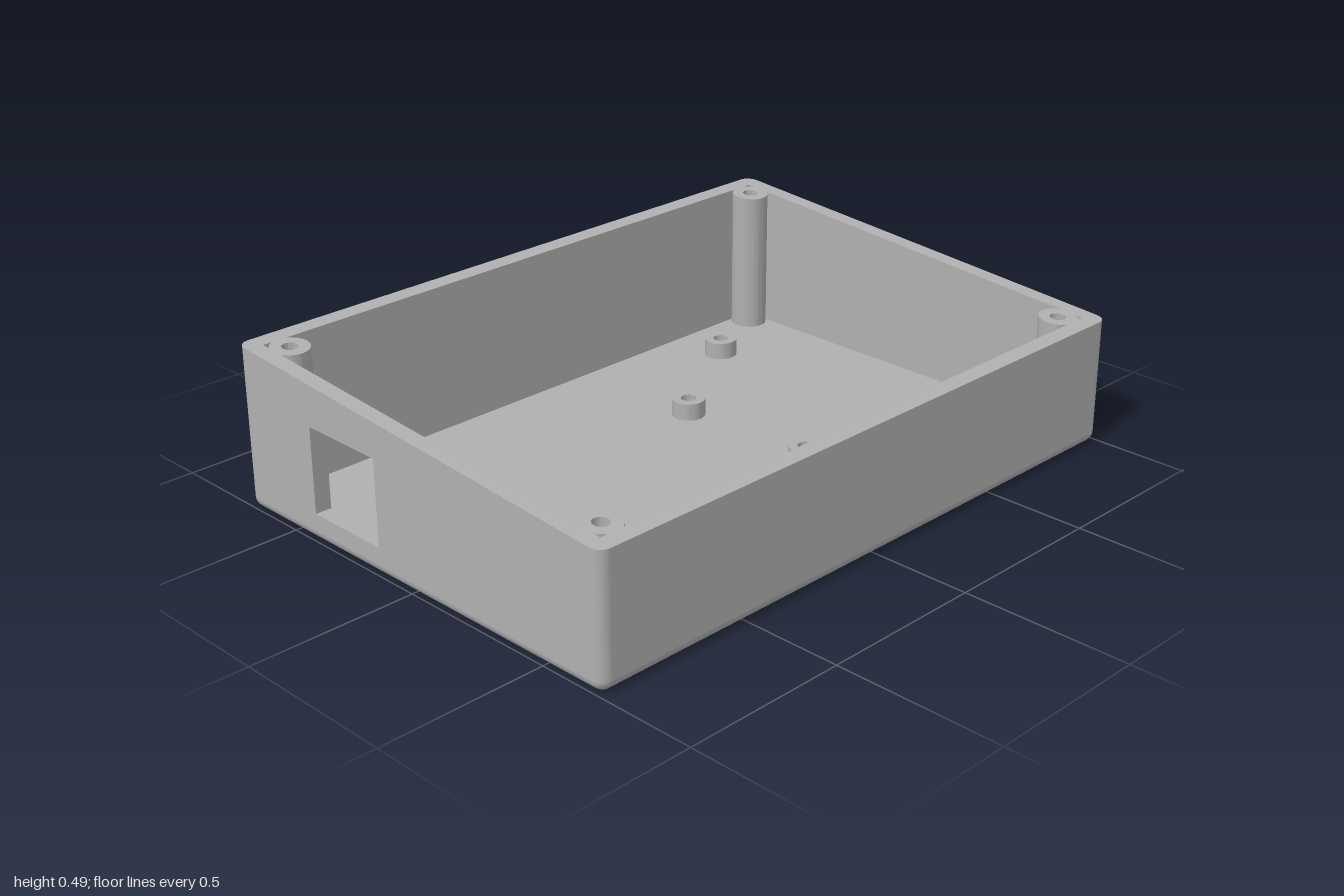
import * as THREE from 'three';
import { toCreasedNormals } from 'three/addons/utils/BufferGeometryUtils.js';

const W = 1, D = 0.7075;            // outer half width and half depth
const WALL = 0.05, FLOOR = 0.035;   // thicknesses
const R = 0.035, N = 10;            // edge rounding and its segments
const IW = W - WALL, ID = D - WALL; // inner half sizes
const rimY = (z) => 0.435 - 0.1 * z / (2 * D); // rim slopes down to the front
const WIN = { z0: -0.4, z1: -0.13, y0: 0.085, y1: 0.34 };

export function createModel() {
  const model = new THREE.Group();
  const plastic = new THREE.MeshStandardMaterial({ color: 0xb0b0b0, side: THREE.DoubleSide });
  plastic.name = 'grey plastic';

  const add = (name, geometry, parent = model) => {
    const mesh = new THREE.Mesh(geometry, plastic);
    mesh.name = name;
    parent.add(mesh);
    return mesh;
  };

  // Flat panel drawn in (u, v), with optional holes, then placed in space by a rule
  const panel = (name, points, holes, place) => {
    const shape = new THREE.Shape(points.map(([u, v]) => new THREE.Vector2(u, v)));
    shape.holes = holes;
    const g = new THREE.ShapeGeometry(shape, 24);
    const p = g.attributes.position;
    for (let i = 0; i < p.count; i++) p.setXYZ(i, ...place(p.getX(i), p.getY(i)));
    g.computeVertexNormals();
    return add(name, g);
  };
  const rect = (u0, v0, u1, v1) => [[u0, v0], [u1, v0], [u1, v1], [u0, v1]];
  const hole = (pts) => new THREE.Path(pts.map(([u, v]) => new THREE.Vector2(u, v)));
  const circle = (u, v, r) => new THREE.Path().absarc(u, v, r, 0, Math.PI * 2, true);

  // Rounded rectangle points in x, z with the outward direction of each
  const outline = (r) => {
    const pts = [];
    [[1, 1], [-1, 1], [-1, -1], [1, -1]].forEach(([sx, sz], corner) => {
      for (let i = 0; i <= N; i++) {
        const a = (corner + i / N) * Math.PI / 2;
        const c = Math.cos(a), s = Math.sin(a);
        pts.push({ x: sx * (W - R) + r * c, z: sz * (D - R) + r * s, c, s });
      }
    });
    return pts;
  };

  // Outer skin: rounded bottom edge swept up to the sloping rim
  const pos = [], nor = [], idx = [];
  const count = 4 * (N + 1);
  for (let k = 0; k <= N + 1; k++) {
    const t = Math.min(k / N, 1) * Math.PI / 2;
    for (const q of outline(R * Math.sin(t))) {
      pos.push(q.x, k > N ? rimY(q.z) : R * (1 - Math.cos(t)), q.z);
      nor.push(q.c * Math.sin(t), -Math.cos(t), q.s * Math.sin(t));
    }
  }
  for (let k = 0; k <= N; k++) {
    for (let j = 0; j < count; j++) {
      if (k === N && j === 2 * N + 1) continue; // left open for the window wall
      const a = k * count + j, b = k * count + (j + 1) % count;
      idx.push(a, a + count, b, b, a + count, b + count);
    }
  }
  const skin = new THREE.BufferGeometry();
  skin.setAttribute('position', new THREE.Float32BufferAttribute(pos, 3));
  skin.setAttribute('normal', new THREE.Float32BufferAttribute(nor, 3));
  skin.setIndex(idx);
  add('outerShell', skin);

  // Side walls: the -x one has a square port opening
  const sideWall = (name, x, halfZ, y0, open) => panel(name,
    [[-halfZ, y0], [halfZ, y0], [halfZ, rimY(halfZ)], [-halfZ, rimY(-halfZ)]],
    open ? [hole(rect(WIN.z0, WIN.y0, WIN.z1, WIN.y1))] : [],
    (u, v) => [x, v, u]);
  sideWall('portWallOuter', -W, D - R, R, true);
  sideWall('portWallInner', -IW, ID, FLOOR, true);
  sideWall('sideWallInner', IW, ID, FLOOR, false);

  // Edges of the port opening
  for (const z of [WIN.z0, WIN.z1])
    panel('portJamb', rect(-W, WIN.y0, -IW, WIN.y1), [], (u, v) => [u, v, z]);
  for (const y of [WIN.y0, WIN.y1])
    panel('portSill', rect(-W, WIN.z0, -IW, WIN.z1), [], (u, v) => [u, y, v]);

  // Inner front and back walls, floor and rim
  for (const z of [ID, -ID])
    panel(z > 0 ? 'frontWallInner' : 'backWallInner',
      rect(-IW, FLOOR, IW, rimY(z)), [], (u, v) => [u, v, z]);
  panel('floor', rect(-IW, -ID, IW, ID), [], (u, v) => [u, FLOOR, -v]);
  panel('rim', outline(R).map((q) => [q.x, q.z]), [hole(rect(-IW, -ID, IW, ID))],
    (u, v) => [u, rimY(-v), -v]);

  // Underside with four shallow round foot recesses
  const FX = 0.81, FZ = 0.52, FR = 0.09, DEPTH = 0.018;
  const corners = [[1, 1], [-1, 1], [-1, -1], [1, -1]];
  panel('underside', rect(-W + R, -D + R, W - R, D - R),
    corners.map(([sx, sz]) => circle(sx * FX, sz * FZ, FR)), (u, v) => [u, 0, v]);
  for (const [sx, sz] of corners) {
    const recess = new THREE.LatheGeometry([[FR, 0], [FR, DEPTH], [0, DEPTH]]
      .map(([x, y]) => new THREE.Vector2(x, y)), 48);
    add('footRecess', toCreasedNormals(recess, 0.6)).position.set(sx * FX, 0, sz * FZ);
  }

  // Hollow screw post; its top follows topAt(z)
  const post = (name, x, z, r, bore, boreBottom, topAt) => {
    const g = new THREE.LatheGeometry([[r, FLOOR], [r, 1], [bore, 1], [bore, boreBottom], [0, boreBottom]]
      .map(([px, py]) => new THREE.Vector2(px, py)), 40);
    g.translate(x, 0, z);
    const p = g.attributes.position;
    for (let i = 0; i < p.count; i++) if (p.getY(i) > 0.99) p.setY(i, topAt(p.getZ(i)));
    add(name, toCreasedNormals(g, 0.6));
  };
  for (const [sx, sz] of corners)
    post('cornerScrewPost', sx * 0.9, sz * 0.607, 0.056, 0.023, 0.1, rimY);

  // Low standoffs on the floor
  for (const [x, z] of [[-0.615, -0.48], [0.635, -0.48], [0.232, -0.225],
    [0.232, 0.242], [-0.635, 0.326], [0.74, 0.326]])
    post('boardStandoff', x, z, 0.05, 0.023, FLOOR + 0.002, () => 0.087);

  return model;
}
